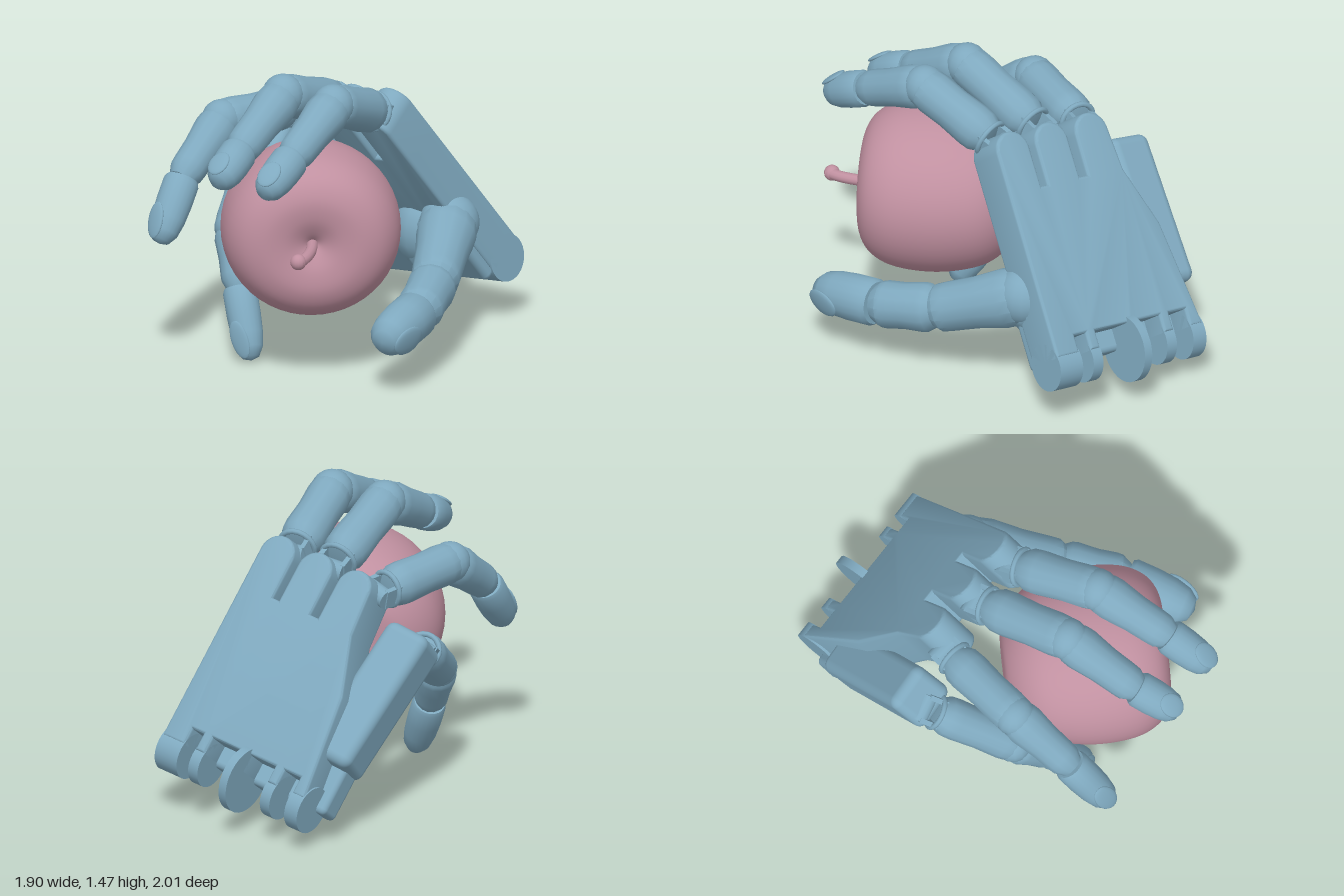
import * as THREE from 'three';
import { toCreasedNormals } from 'three/addons/utils/BufferGeometryUtils.js';
import { RoundedBoxGeometry } from 'three/addons/geometries/RoundedBoxGeometry.js';

const V = (x, y, z) => new THREE.Vector3(x, y, z);
const blue = new THREE.MeshStandardMaterial({ color: 0x7fa9bf });
const pink = new THREE.MeshStandardMaterial({ color: 0xc090a0, side: THREE.DoubleSide });

function mesh(name, geo, mat = blue) {
  const m = new THREE.Mesh(geo, mat);
  m.name = name;
  return m;
}

// Stand a part on point a with its y axis along dir and its z axis near back
function place(m, a, dir, back) {
  const y = dir.clone().normalize();
  const x = new THREE.Vector3().crossVectors(y, back).normalize();
  const z = new THREE.Vector3().crossVectors(x, y);
  m.quaternion.setFromRotationMatrix(new THREE.Matrix4().makeBasis(x, y, z));
  m.position.copy(a);
  return m;
}

// Turned segment from a profile of [radius, height] pairs
function turned(name, profile, sides = 14, crease = 0.5) {
  const pts = profile.map(([r, y]) => new THREE.Vector2(r, y));
  return mesh(name, toCreasedNormals(new THREE.LatheGeometry(pts, sides), crease));
}

// Middle bone: waisted, with rounded ends
function bone(name, a, b, r0, r1, back) {
  const d = b.clone().sub(a), l = d.length(), mid = (r0 + r1) / 2;
  const m = turned(name, [
    [0, -0.02], [r0 * 0.75, -0.01], [r0 * 0.97, 0.04], [r0, l * 0.22], [mid * 0.95, l * 0.55],
    [r1, l * 0.85], [r1 * 0.97, l - 0.02], [r1 * 0.7, l + 0.03], [0, l + 0.04]], 14, 0.6);
  return place(m, a, d, back);
}

// Fingertip with a collar, a gap at the joint and a nail on its back
function fingertip(a, b, r, back) {
  const g = new THREE.Group();
  g.name = 'fingertip';
  const d = b.clone().sub(a), l = d.length();
  g.add(turned('tipBody', [
    [0, 0.02], [r * 0.9, 0.02], [r, 0.04], [r, l * 0.4], [r * 0.94, l * 0.65],
    [r * 0.8, l * 0.84], [r * 0.5, l * 0.96], [0.001, l]], 20, 0.8));
  const nail = mesh('nail', new THREE.SphereGeometry(1, 16, 10));
  nail.scale.set(r * 0.62, l * 0.25, r * 0.16);
  nail.position.set(0, l * 0.74, r * 0.78);
  nail.rotation.x = -0.25;
  g.add(nail);
  return place(g, a, d, back);
}

// Open hinge between knuckle and finger: ring, two bars and a pin
function hinge(a, b, r, back) {
  const g = new THREE.Group();
  g.name = 'knuckleHinge';
  const d = b.clone().sub(a), l = d.length();
  const ring = mesh('hingeRing', new THREE.TorusGeometry(r * 0.8, 0.014, 8, 20));
  ring.rotation.x = Math.PI / 2;
  ring.position.y = l * 0.8;
  const pin = mesh('hingePin', new THREE.CylinderGeometry(r * 0.45, r * 0.45, r * 1.3, 14));
  pin.rotation.z = Math.PI / 2;
  g.add(ring, pin);
  for (const s of [-1, 1]) {
    const bar = mesh('hingeBar', new THREE.BoxGeometry(0.025, l * 1.15, r * 0.9));
    bar.position.set(s * r * 0.6, l * 0.5, 0);
    g.add(bar);
  }
  return place(g, a, d, back);
}

function finger(name, p, r) {
  const g = new THREE.Group();
  g.name = name;
  const [k, pip, dip, tip] = p.map(q => V(...q));
  const dTip = tip.clone().sub(dip).normalize();
  const back = pip.clone().sub(k).normalize();
  back.addScaledVector(dTip, -back.dot(dTip)).normalize();
  const start = k.clone().lerp(pip, 0.17);
  g.add(hinge(k, start, r, back));
  g.add(bone('lowerBone', start, pip, r, r * 0.97, back));
  const knuckle = mesh('middleKnuckle', new THREE.SphereGeometry(r * 0.94, 16, 12));
  knuckle.position.copy(pip);
  g.add(knuckle, bone('middleBone', pip, dip, r * 0.97, r * 0.82, back));
  g.add(fingertip(dip, tip, r * 0.82, back));
  return g;
}

function palm() {
  const g = new THREE.Group();
  g.name = 'palm';
  // Axes: x from first finger to little finger, y from wrist to knuckles, z out of the back
  const y = V(-0.51, 0.79, 0.35).normalize();
  const z = V(0.51, 0.6, -0.61).normalize();
  const x = new THREE.Vector3().crossVectors(y, z).normalize();
  z.crossVectors(x, y);
  g.quaternion.setFromRotationMatrix(new THREE.Matrix4().makeBasis(x, y, z));
  g.position.set(0.9, 0.355, -0.4);

  // Plate with notches between the wrist lugs and three knuckle lobes
  const lugs = [[0, 0.12, 0.14], [0.17, 0.115, 0.06], [0.42, 0.17, 0.045], [0.63, 0.115, 0.06], [0.8, 0.12, 0.08]];
  const s = new THREE.Shape();
  s.moveTo(-0.07, 0.9);
  for (const [u, , w] of lugs) {
    if (u > 0) s.lineTo(u - w / 2, 0.15);
    s.lineTo(u - w / 2, 0.06);
    s.lineTo(u + w / 2, 0.06);
    if (u < 0.8) s.lineTo(u + w / 2, 0.15);
  }
  s.lineTo(0.76, 0.6);
  s.lineTo(0.64, 0.9);
  for (const c of [0.52, 0.27, 0.03]) {
    if (c < 0.5) s.lineTo(c + 0.1, 0.91);
    s.lineTo(c + 0.1, 1.115);
    s.absarc(c, 1.115, 0.1, 0, Math.PI, false);
    if (c > 0.1) s.lineTo(c - 0.1, 0.91);
  }
  const plate = new THREE.ExtrudeGeometry(s, {
    depth: 0.19, bevelThickness: 0.02, bevelSize: 0.015, bevelOffset: -0.015, bevelSegments: 3, curveSegments: 12 });
  plate.translate(0, 0, -0.21);
  g.add(mesh('palmPlate', toCreasedNormals(plate, 0.6)));

  // Row of wrist lugs; the middle one is a large disc
  for (const [u, r, w] of lugs) {
    const lug = mesh('wristLug', new THREE.CylinderGeometry(r, r, w, 32));
    lug.rotation.z = Math.PI / 2;
    lug.position.set(u, 0.035, r > 0.15 ? -0.09 : -0.12);
    g.add(lug);
  }
  // Heel pad on the inner side of the wrist
  const heel = mesh('heelPad', new RoundedBoxGeometry(0.95, 0.37, 0.14, 3, 0.03));
  heel.position.set(0.415, 0.225, -0.215);
  g.add(heel);
  return g;
}

function thumb() {
  const g = new THREE.Group();
  g.name = 'thumb';
  const back = V(0.85, -0.2, 0.45);
  const p = [[0.52, 0.34, -0.34], [0.575, 0.555, -0.12], [0.48, 0.39, 0.33], [0.385, 0.335, 0.63], [0.19, 0.285, 0.97]].map(q => V(...q));
  g.add(bone('thumbBase', p[0], p[1], 0.18, 0.15, back));
  const ball = mesh('thumbKnuckle', new THREE.SphereGeometry(0.15, 20, 14));
  ball.position.copy(p[1]);
  g.add(ball, bone('thumbLowerBone', p[1], p[2], 0.15, 0.125, back));
  g.add(bone('thumbUpperBone', p[2], p[3], 0.125, 0.12, back), fingertip(p[3], p[4], 0.12, back));
  // Pad joining the thumb to the palm
  const pad = mesh('thumbPad', new THREE.SphereGeometry(1, 14, 10));
  pad.scale.set(0.16, 0.19, 0.17);
  pad.position.set(0.46, 0.47, -0.3);
  g.add(pad);
  return g;
}

function apple() {
  const g = new THREE.Group();
  g.name = 'apple';
  const profile = new THREE.SplineCurve([
    [0, -0.025], [0.1, -0.028], [0.2, -0.015], [0.31, 0.05], [0.39, 0.15], [0.435, 0.3], [0.447, 0.46],
    [0.425, 0.62], [0.36, 0.73], [0.26, 0.782], [0.15, 0.78], [0.06, 0.745], [0, 0.7]
  ].map(([r, h]) => new THREE.Vector2(r, h))).getPoints(60);
  profile.forEach(q => { q.x = Math.max(q.x, 0); });
  const body = mesh('appleBody', new THREE.LatheGeometry(profile, 48), pink);
  body.rotation.x = Math.PI / 2;
  body.scale.set(1, 1, 0.95);
  body.position.set(-0.14, 0.725, 0);
  // Stem, thicker at its end
  const path = new THREE.CatmullRomCurve3([V(-0.14, 0.725, 0.64), V(-0.155, 0.715, 0.8), V(-0.185, 0.71, 0.9), V(-0.225, 0.705, 0.97)]);
  const stem = mesh('stem', new THREE.TubeGeometry(path, 20, 0.028, 12), pink);
  const end = mesh('stemEnd', new THREE.SphereGeometry(0.04, 16, 12), pink);
  end.position.set(-0.225, 0.705, 0.95);
  g.add(body, stem, end);
  return g;
}

export function createModel() {
  const model = new THREE.Group();
  model.name = 'handHoldingApple';
  model.add(palm(), thumb(), apple());

  // Block beside the palm that carries the little finger
  const a = V(0.12, 0.37, -0.76), b = V(-0.34, 0.92, -0.45);
  const d = b.clone().sub(a);
  const block = mesh('littleFingerBlock', new RoundedBoxGeometry(0.25, d.length(), 0.25, 4, 0.05));
  model.add(place(block, a.clone().lerp(b, 0.5), d, V(0.35, 0.7, -0.6)));

  model.add(finger('firstFinger', [[0.22, 1.19, 0.05], [-0.03, 1.36, 0.46], [-0.24, 1.2, 0.77], [-0.4, 1.07, 0.99]], 0.114));
  model.add(finger('middleFinger', [[0.05, 1.18, -0.14], [-0.27, 1.36, 0.28], [-0.49, 1.18, 0.58], [-0.62, 1.07, 0.8]], 0.114));
  model.add(finger('ringFinger', [[-0.16, 1.11, -0.32], [-0.56, 1.14, -0.02], [-0.76, 0.93, 0.22], [-0.89, 0.64, 0.42]], 0.11));
  model.add(finger('littleFinger', [[-0.36, 0.86, -0.45], [-0.5, 0.58, -0.02], [-0.485, 0.34, 0.16], [-0.43, 0.005, 0.36]], 0.104));
  return model;
}
